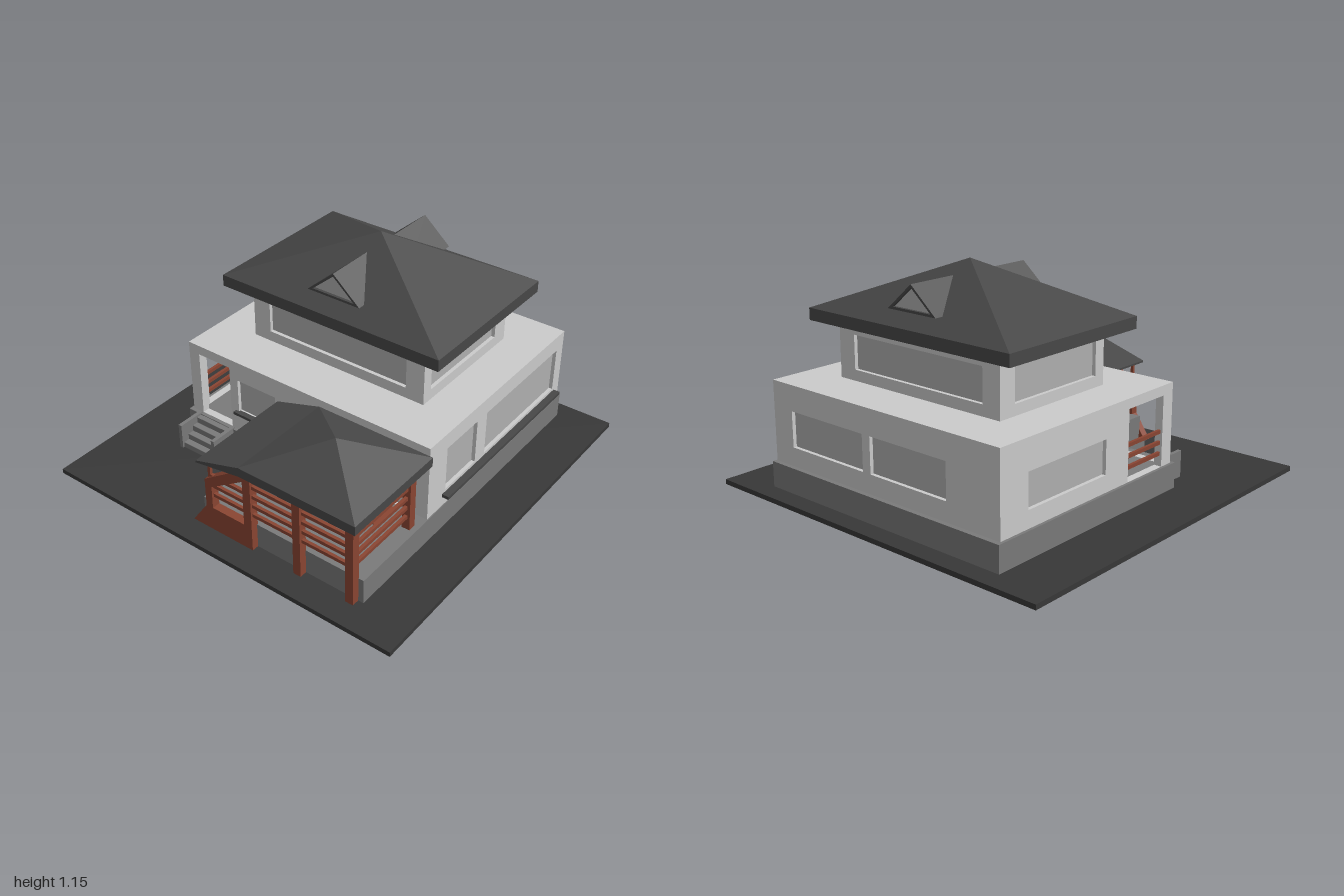
import * as THREE from 'three';

const mat = (color) => new THREE.MeshStandardMaterial({ color, flatShading: true });
const WALL = mat(0xcccccc), GLASS = mat(0xb0b0b0), STONE = mat(0x7a7a7a);
const ROOF = mat(0x484848), GROUND = mat(0x383838), WOOD = mat(0x8a4532);
const T = 0.04; // wall thickness

function add(parent, name, geometry, material) {
  const mesh = new THREE.Mesh(geometry, material);
  mesh.name = name;
  parent.add(mesh);
  return mesh;
}

// Box given by its limits on each axis
function box(parent, name, material, x0, x1, y0, y1, z0, z1) {
  const g = new THREE.BoxGeometry(x1 - x0, y1 - y0, z1 - z0);
  g.translate((x0 + x1) / 2, (y0 + y1) / 2, (z0 + z1) / 2);
  return add(parent, name, g, material);
}

const polygon = (pts) => pts.map(([x, y]) => new THREE.Vector2(x, y));
const rect = (a, b, c, d) => polygon([[a, c], [b, c], [b, d], [a, d]]);

function prism(pts, holes, z0, z1) {
  const shape = new THREE.Shape(polygon(pts));
  holes.forEach((h) => shape.holes.push(new THREE.Path(polygon(h))));
  const g = new THREE.ExtrudeGeometry(shape, { depth: z1 - z0, bevelEnabled: false });
  return g.translate(0, 0, z0);
}

// Wall with openings [u0, u1, y0, y1, open]; u runs along x or z, the slab spans depth d0..d0+T
function wall(parent, name, alongZ, outer, sign, u0, u1, y0, y1, openings) {
  const group = new THREE.Group();
  group.name = name;
  const shape = new THREE.Shape(rect(u0, u1, y0, y1));
  for (const [a, b, c, d] of openings) shape.holes.push(new THREE.Path(rect(a, b, c, d)));
  const g = new THREE.ExtrudeGeometry(shape, { depth: T, bevelEnabled: false });
  if (alongZ) g.rotateY(-Math.PI / 2).translate(sign > 0 ? outer : outer + T, 0, 0);
  else g.translate(0, 0, sign > 0 ? outer - T : outer);
  add(group, 'wallPanel', g, WALL);
  const m = outer - sign * 0.025;
  for (const [a, b, c, d, open] of openings) {
    if (open) continue;
    if (alongZ) box(group, 'windowPane', GLASS, m - 0.006, m + 0.006, c, d, a, b);
    else box(group, 'windowPane', GLASS, a, b, c, d, m - 0.006, m + 0.006);
  }
  parent.add(group);
}

// Pyramid roof on a fascia slab
function hipRoof(parent, name, x0, x1, z0, z1, yBase, yEave, yTop) {
  box(parent, name + 'Fascia', ROOF, x0, x1, yBase, yEave, z0, z1);
  const g = new THREE.ConeGeometry(Math.SQRT1_2, 1, 4, 1, true);
  g.rotateY(Math.PI / 4).scale(x1 - x0, yTop - yEave, z1 - z0);
  g.translate((x0 + x1) / 2, (yTop + yEave) / 2, (z0 + z1) / 2);
  add(parent, name, g, ROOF);
}

function buildHouse(house) {
  box(house, 'foundation', STONE, -0.72, 0.745, 0.025, 0.155, -0.9, 0.365);

  // Ground floor walls, with the open porch at the front corner
  wall(house, 'frontWall', false, 0.345, 1, -0.705, 0.74, 0.12, 0.56, [
    [-0.64, -0.44, 0.156, 0.51, true], [-0.39, -0.15, 0.27, 0.455], [0.24, 0.58, 0.156, 0.435]]);
  wall(house, 'backWall', false, -0.875, -1, -0.705, 0.74, 0.12, 0.56, [
    [0.12, 0.61, 0.25, 0.43], [-0.4, 0.07, 0.25, 0.43]]);
  wall(house, 'leftWall', true, 0.74, 1, -0.875 + T, 0.345 - T, 0.12, 0.56, [
    [-0.055, 0.2, 0.24, 0.475], [-0.81, -0.14, 0.24, 0.475]]);
  wall(house, 'rightWall', true, -0.705, -1, -0.875 + T, 0.345 - T, 0.12, 0.56, [
    [-0.7, -0.17, 0.24, 0.41], [0, 0.27, 0.156, 0.51, true]]);
  box(house, 'terraceRoof', WALL, -0.67, 0.705, 0.52, 0.56, -0.84, 0.31);

  // Porch interior
  box(house, 'porchBackWall', WALL, -0.67, -0.41, 0.15, 0.53, -0.06, -0.02);
  box(house, 'porchSideWall', WALL, -0.43, -0.4, 0.15, 0.53, -0.04, 0.31);
  box(house, 'entranceDoor', GLASS, -0.625, -0.475, 0.155, 0.4, -0.03, -0.01);
  for (const y of [0.21, 0.265, 0.32])
    box(house, 'porchRail', WOOD, -0.695, -0.68, y, y + 0.018, 0, 0.27);

  // Window ledges
  box(house, 'frontLedge', ROOF, -0.41, -0.13, 0.255, 0.27, 0.335, 0.365);
  box(house, 'sideLedge', ROOF, 0.73, 0.775, 0.208, 0.225, -0.83, 0.225);

  // Upper floor
  const front = [[-0.385, 0.43, 0.615, 0.785]], side = [[-0.535, 0.03, 0.615, 0.785]];
  wall(house, 'upperFrontWall', false, 0.09, 1, -0.485, 0.53, 0.54, 0.84, front);
  wall(house, 'upperBackWall', false, -0.63, -1, -0.485, 0.53, 0.54, 0.84, front);
  wall(house, 'upperLeftWall', true, 0.53, 1, -0.63 + T, 0.09 - T, 0.54, 0.84, side);
  wall(house, 'upperRightWall', true, -0.485, -1, -0.63 + T, 0.09 - T, 0.54, 0.84, side);

  // Main roof with front and back dormers
  hipRoof(house, 'mainRoof', -0.61, 0.65, -0.71, 0.17, 0.835, 0.895, 1.15);
  const outline = [[-0.13, 0.955], [0.17, 0.955], [0.02, 1.085]];
  const opening = [[-0.1, 0.967], [0.14, 0.967], [0.02, 1.07]];
  for (const [z0, z1, glass] of [[-0.27, 0.105, 0.085], [-0.65, -0.27, -0.63]]) {
    add(house, 'dormer', prism(outline, [opening], z0, z1), ROOF);
    add(house, 'dormerPane', prism(opening, [], glass - 0.005, glass + 0.005), GLASS);
  }
}

function buildSteps(steps) {
  for (let i = 0; i < 4; i++)
    box(steps, 'step', STONE, -0.645, -0.435, 0.025, 0.055 + i * 0.032, 0.36, 0.5 - i * 0.035);
  for (const x of [-0.66, -0.44])
    box(steps, 'stepCheek', STONE, x, x + 0.02, 0.025, 0.162, 0.35, 0.51);
}

function buildPavilion(pavilion) {
  box(pavilion, 'pavilionFloor', STONE, -0.18, 0.745, 0.025, 0.155, 0.36, 0.838);
  box(pavilion, 'doorMat', WOOD, 0.24, 0.58, 0.155, 0.161, 0.37, 0.52);

  // Posts and rails
  for (const [x, z] of [[0.385, 0.835], [0.675, 0.835], [0.675, 0.412]])
    box(pavilion, 'post', WOOD, x, x + 0.042, 0.025, 0.475, z, z + 0.042);
  for (let i = 0; i < 5; i++) {
    const y = 0.217 + i * 0.053;
    box(pavilion, 'frontRail', WOOD, 0.13, 0.69, y, y + 0.018, 0.848, 0.864);
    box(pavilion, 'sideRail', WOOD, 0.688, 0.704, y, y + 0.018, 0.44, 0.85);
    if (i < 3) box(pavilion, 'entryRail', WOOD, -0.1, 0.11, y, y + 0.018, 0.848, 0.864);
  }

  // Sloping entry frames, each with a slim post to the canopy
  const frame = [[-0.22, 0.025], [0.145, 0.025], [0.145, 0.475], [0.1, 0.468], [-0.13, 0.31], [-0.13, 0.155]];
  const gap = [[-0.09, 0.157], [0.1, 0.157], [0.1, 0.405], [-0.09, 0.28]];
  for (const z of [0.406, 0.832]) {
    add(pavilion, 'entryFrame', prism(frame, [gap], z, z + 0.043), WOOD);
    box(pavilion, 'slimPost', WOOD, -0.12, -0.105, 0.31, 0.442, z + 0.014, z + 0.029);
  }

  // Roof and lean-to canopy
  hipRoof(pavilion, 'pavilionRoof', 0.12, 0.755, 0.345, 0.917, 0.472, 0.52, 0.655);
  const canopy = [[-0.135, 0.43], [0.13, 0.473], [0.13, 0.522], [-0.135, 0.44]];
  add(pavilion, 'canopy', prism(canopy, [], 0.345, 0.917), ROOF);
}

export function createModel() {
  const model = new THREE.Group();
  model.name = 'house';
  box(model, 'ground', GROUND, -1, 1, 0, 0.025, -1, 1);
  for (const [name, build] of [['mainBuilding', buildHouse], ['entranceSteps', buildSteps], ['pavilion', buildPavilion]]) {
    const part = new THREE.Group();
    part.name = name;
    build(part);
    model.add(part);
  }
  return model;
}
